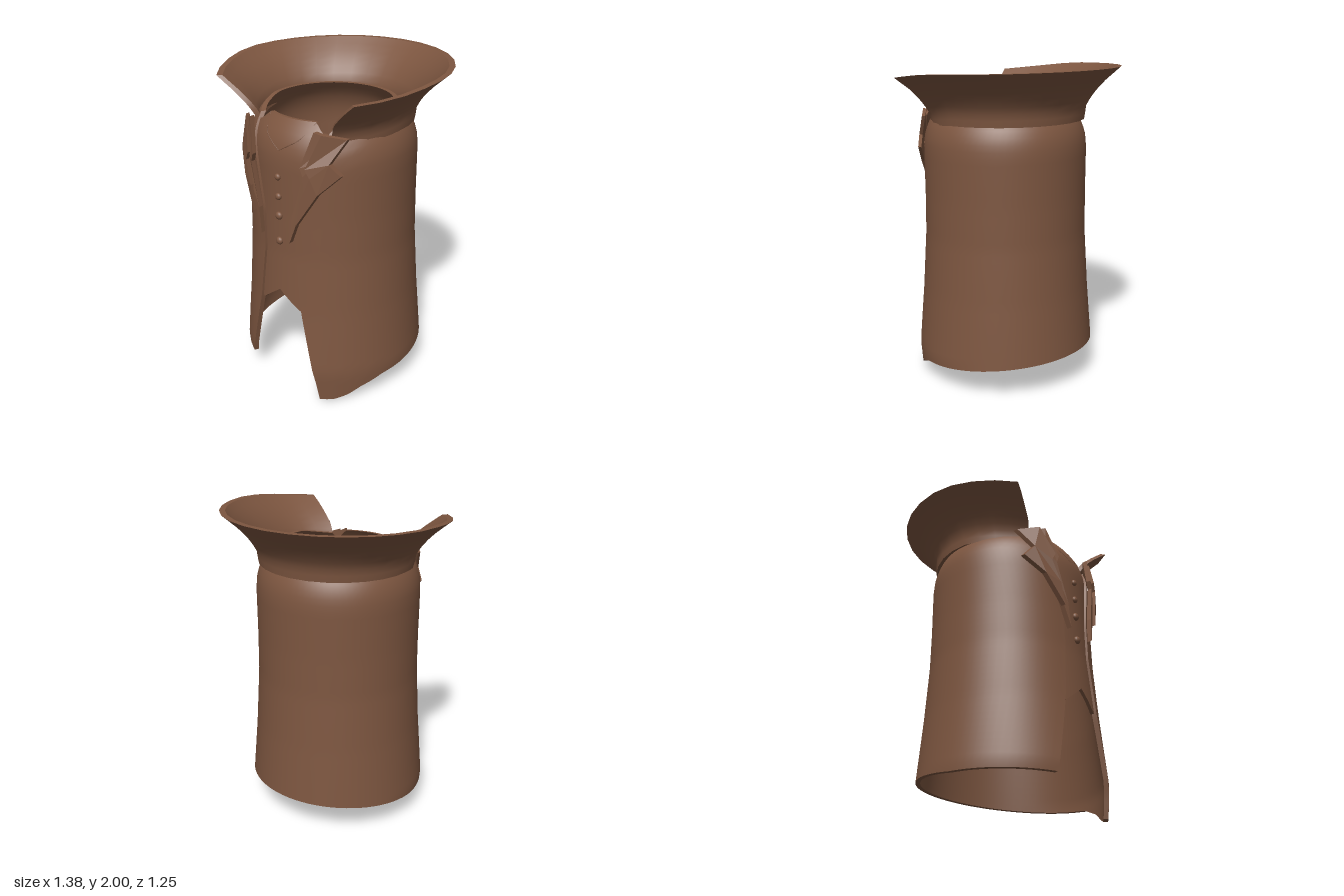
import * as THREE from 'three';
import { mergeGeometries } from 'three/addons/utils/BufferGeometryUtils.js';

const CZ = 0.085; // depth of the garment's vertical axis
const cloth = new THREE.MeshStandardMaterial({ color: 0x7d5640 });
cloth.name = 'brown cloth';

// Piecewise linear lookup in [[t, value], ...]
function look(table, t) {
  if (t <= table[0][0]) return table[0][1];
  for (let i = 1; i < table.length; i++) {
    const [a, va] = table[i - 1], [b, vb] = table[i];
    if (t <= b) return va + (vb - va) * (t - a) / (b - a);
  }
  return table[table.length - 1][1];
}

// Smooth grid surface from fn(u, v) -> [x, y, z]
function sheet(fn, nu, nv) {
  const pos = [], idx = [], row = nu + 1;
  for (let j = 0; j <= nv; j++)
    for (let i = 0; i <= nu; i++) pos.push(...fn(i / nu, j / nv));
  for (let j = 0; j < nv; j++)
    for (let i = 0; i < nu; i++) {
      const a = j * row + i;
      idx.push(a, a + 1, a + row + 1, a, a + row + 1, a + row);
    }
  const g = new THREE.BufferGeometry();
  g.setAttribute('position', new THREE.Float32BufferAttribute(pos, 3));
  g.setIndex(idx);
  g.computeVertexNormals();
  return g;
}

// Thick cloth: fn(u, v, w) with w = 0 inside and w = 1 outside
function shell(fn, nu, nv) {
  return mergeGeometries([
    sheet((u, v) => fn(u, v, 1), nu, nv),
    sheet((u, v) => fn(1 - u, v, 0), nu, nv),
    sheet((u, w) => fn(u, 0, w), nu, 1),
    sheet((u, w) => fn(1 - u, 1, w), nu, 1),
    sheet((w, v) => fn(0, v, w), 1, nv),
    sheet((w, v) => fn(1, v, 1 - w), 1, nv),
  ]);
}

const polar = (a, r, y) => [r * Math.sin(a), y, CZ + r * Math.cos(a)];

// Body radius by height
const BODY = [[0, 0.555], [0.2, 0.57], [0.6, 0.535], [0.95, 0.512], [1.2, 0.508], [1.5, 0.508],
  [1.57, 0.502], [1.64, 0.482], [1.7, 0.447], [1.75, 0.405], [1.77, 0.388]];
const bodyR = (y) => look(BODY, y);

// Half width of the coat's front opening by height
const OPENING = [[0, 0.275], [0.15, 0.258], [0.6, 0.162], [0.95, 0.122], [1.2, 0.125], [1.5, 0.19], [1.72, 0.27]];
// Coat hem height by the cosine of the angle from the front
const HEM_LEFT = [[-1, 0.24], [-0.15, 0.18], [0.3, 0.15], [0.56, 0.09], [0.68, 0.04], [0.8, 0.005], [1, 0]];
const HEM_RIGHT = [[-1, 0.24], [0, 0.17], [1, 0.148]];

function coatPoint(u, v, w) {
  const rough = 0.5 + u * (2 * Math.PI - 1);
  const c = Math.cos(rough);
  const hem = look(u < 0.5 ? HEM_LEFT : HEM_RIGHT, c);
  const top = look([[0.5, 1.77], [0.9, 1.72]], c);
  const y = hem + (top - hem) * v;
  const r = bodyR(y);
  const edge = Math.asin(look(OPENING, y) / r);
  return polar(edge + u * 2 * (Math.PI - edge), r - (1 - w) * 0.028, y);
}

function vestPoint(u, v, w) {
  const a = (u - 0.5) * 2.4, t = Math.abs(a);
  const hem = look([[0, 0.71], [0.28, 0.6], [0.36, 0.62], [0.66, 0.75], [1.2, 1.0]], t);
  const top = look([[0.45, 1.75], [0.55, 1.7], [0.8, 1.67]], t);
  const y = hem + (top - hem) * v;
  return polar(a, bodyR(y) - 0.014 - (1 - w) * 0.02, y);
}

function collarPoint(u, v, w) {
  const end = look([[0, 0.66], [0.45, 0.68], [1, 0.84]], v);
  const a = end + u * 2 * (Math.PI - end), c = Math.cos(a);
  const low = look([[-1, 1.68], [0, 1.67], [0.75, 1.63]], c);
  const high = look([[-1, 2], [0, 1.977], [0.75, 1.915]], c);
  const r = look([[0, 0.475], [0.25, 0.485], [0.45, 0.52], [0.7, 0.585], [1, 0.692]], v) - 0.025 * c;
  return polar(a, r - (1 - w) * 0.035, low + (high - low) * v);
}

// Plate cut from an outline in x, y and bent round the chest
function lapel(points, side, offset) {
  const shape = new THREE.Shape(points.map(([x, y]) => new THREE.Vector2(side * x, y)));
  const g = new THREE.ExtrudeGeometry(shape, { depth: 0.03, bevelEnabled: false });
  const p = g.attributes.position;
  for (let i = 0; i < p.count; i++) {
    const x = p.getX(i), r = Math.max(bodyR(p.getY(i)), 0.48);
    p.setZ(i, p.getZ(i) + CZ + Math.sqrt(r * r - x * x) + offset);
  }
  g.computeVertexNormals();
  return g;
}

const OUTER_LAPEL = [[0.28, 1.72], [0.38, 1.69], [0.325, 1.56], [0.375, 1.49], [0.275, 1.38],
  [0.165, 1.19], [0.19, 1.34], [0.24, 1.48], [0.215, 1.53]];
const INNER_LAPEL = [[0.235, 1.73], [0.32, 1.69], [0.26, 1.56], [0.29, 1.5], [0.2, 1.33],
  [0.11, 1.06], [0.125, 1.22], [0.195, 1.48], [0.178, 1.53]];

export function createModel() {
  const model = new THREE.Group();
  model.name = 'tailcoat';
  const add = (name, geometry) => {
    const mesh = new THREE.Mesh(geometry, cloth);
    mesh.name = name;
    model.add(mesh);
    return mesh;
  };

  add('coat', shell(coatPoint, 64, 40));
  add('vest', shell(vestPoint, 60, 32));
  add('collar', shell(collarPoint, 22, 8));

  for (const [label, side] of [['left', 1], ['right', -1]]) {
    add(label + 'OuterLapel', lapel(OUTER_LAPEL, side, 0.026));
    add(label + 'InnerLapel', lapel(INNER_LAPEL, side, 0.008));

    // Fine neckline seam on the vest
    const seam = [[0.17, 1.745], [0.12, 1.66], [0.06, 1.62], [0, 1.585]].map(([x, y]) => {
      const r = bodyR(y) - 0.015;
      return new THREE.Vector3(side * x, y, CZ + Math.sqrt(r * r - x * x));
    });
    add(label + 'NecklineSeam', new THREE.TubeGeometry(new THREE.CatmullRomCurve3(seam), 12, 0.003, 5));
  }

  // Vest buttons
  for (const [y, r] of [[1.43, 0.02], [1.31, 0.021], [1.19, 0.024], [1.03, 0.024]]) {
    const button = add('button', new THREE.SphereGeometry(r, 14, 10));
    button.position.set(0, y, CZ + bodyR(y) - 0.01);
    button.scale.z = 0.75;
  }
  return model;
}
